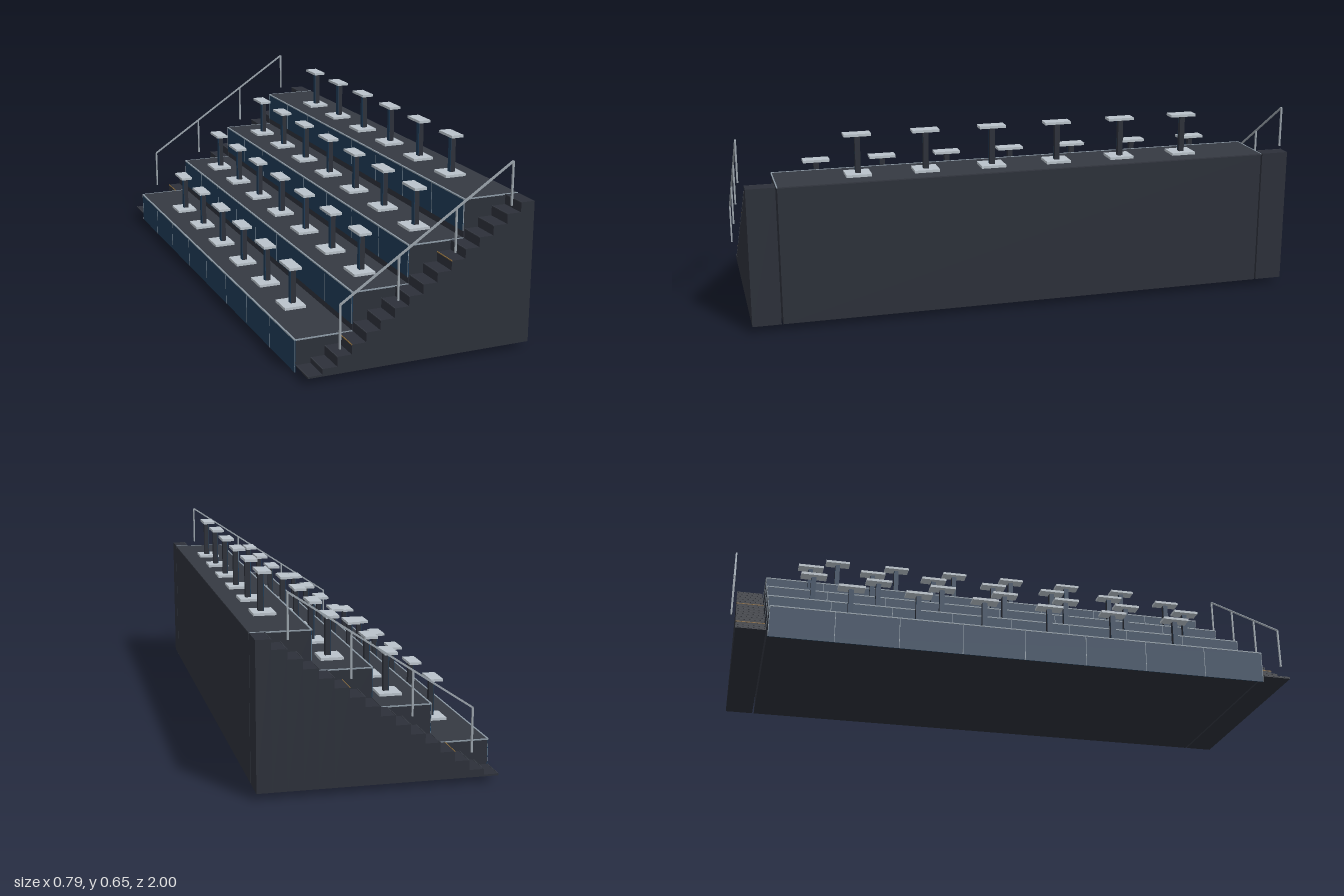
import * as THREE from 'three';

const mat = (color) => new THREE.MeshStandardMaterial({ color });

export function createModel() {
  const model = new THREE.Group();
  const dark = mat(0x2c3039), deckMat = mat(0x353942), blue = mat(0x1d3a55);
  const trimMat = mat(0x8b98a3), plateMat = mat(0xb9c2ca), railMat = mat(0x99a2aa), amber = mat(0x8a6a3a);

  // Box given by its lower and upper corners
  function box(parent, name, m, x0, x1, y0, y1, z0, z1) {
    const mesh = new THREE.Mesh(new THREE.BoxGeometry(x1 - x0, y1 - y0, z1 - z0), m);
    mesh.position.set((x0 + x1) / 2, (y0 + y1) / 2, (z0 + z1) / 2);
    mesh.name = name;
    parent.add(mesh);
    return mesh;
  }

  const base = 0.022, depth = 0.1965, halfZ = 0.875, left = -0.392;
  const tierTop = (i) => 0.112 + i * 0.1313;
  const tierX = (i) => left + i * depth;

  // Four terraces with decks, blue fascia panels and pale edge trim
  for (let i = 0; i < 4; i++) {
    const tier = new THREE.Group();
    tier.name = 'terrace' + (i + 1);
    model.add(tier);
    const x = tierX(i), top = tierTop(i);
    box(tier, 'terraceBody', dark, x, x + depth, base, top - 0.004, -halfZ, halfZ);
    box(tier, 'deck', deckMat, x, x + depth, top - 0.004, top, -halfZ, halfZ);
    const low = i === 0 ? 0 : top - 0.109;
    box(tier, 'fascia', blue, x - 0.002, x + 0.001, low, top - 0.003, -halfZ, halfZ);
    box(tier, 'frontTrim', trimMat, x - 0.004, x + 0.002, top - 0.003, top + 0.001, -halfZ, halfZ);
    for (let k = 0; k <= 8; k++) {
      const z = -halfZ + 0.001 + k * (halfZ - 0.001) / 4;
      box(tier, 'panelSeam', trimMat, x - 0.0028, x, low, top - 0.003, z - 0.001, z + 0.001);
    }
    for (const s of [-1, 1]) {
      const z = s * (halfZ + 0.001);
      box(tier, 'sideTrim', trimMat, x, x + depth, top - 0.003, top + 0.001, z - 0.002, z + 0.002);
    }

    // Pedestals, staggered between outer and inner tiers
    const count = i === 0 || i === 3 ? 6 : 7;
    for (let k = 0; k < count; k++) {
      const stand = new THREE.Group();
      stand.name = 'pedestal';
      stand.position.set(-0.293 + i * 0.197, top, (k - (count - 1) / 2) * 0.2375 - 0.003);
      tier.add(stand);
      box(stand, 'basePlate', plateMat, -0.038, 0.038, 0, 0.009, -0.044, 0.044);
      box(stand, 'column', dark, -0.002, 0.015, 0.009, 0.138, -0.009, 0.009);
      box(stand, 'columnStrip', blue, -0.004, -0.002, 0.009, 0.138, -0.009, 0.009);
      box(stand, 'topPlate', plateMat, -0.022, 0.022, 0.138, 0.147, -0.047, 0.047);
    }
  }

  // Stairs and handrails at both ends
  const steps = 16, run = depth * 4 / steps;
  for (const s of [-1, 1]) {
    const stairs = new THREE.Group();
    stairs.name = s > 0 ? 'frontStairs' : 'backStairs';
    model.add(stairs);
    const z0 = Math.min(s * 0.881, s * 0.98), z1 = Math.max(s * 0.881, s * 0.98);
    for (let i = 0; i < steps; i++) {
      const x = left + i * run;
      const top = Math.max(0.028, 0.506 - (steps - 1 - i) * 0.0328);
      box(stairs, 'step', dark, x, x + run, base, top, z0, z1);
      box(stairs, 'stepNosing', i % 7 === 3 ? amber : deckMat, x - 0.001, x + 0.002, top - 0.002, top + 0.0008, z0, z1);
    }

    const rail = new THREE.Group();
    rail.name = s > 0 ? 'frontHandrail' : 'backHandrail';
    model.add(rail);
    const z = s * 0.997;
    for (let i = 0; i < 4; i++) {
      const x = -0.293 + i * 0.197, y = tierTop(i);
      box(rail, 'railPost', railMat, x - 0.003, x + 0.003, y, y + 0.146, z - 0.003, z + 0.003);
    }
    const a = new THREE.Vector3(-0.293, tierTop(0) + 0.146, z);
    const b = new THREE.Vector3(0.298, tierTop(3) + 0.146, z);
    const bar = new THREE.Mesh(new THREE.BoxGeometry(a.distanceTo(b), 0.006, 0.006), railMat);
    bar.name = 'railBar';
    bar.position.copy(a).lerp(b, 0.5);
    bar.rotation.z = Math.atan2(b.y - a.y, b.x - a.x);
    rail.add(bar);
  }
  return model;
}
